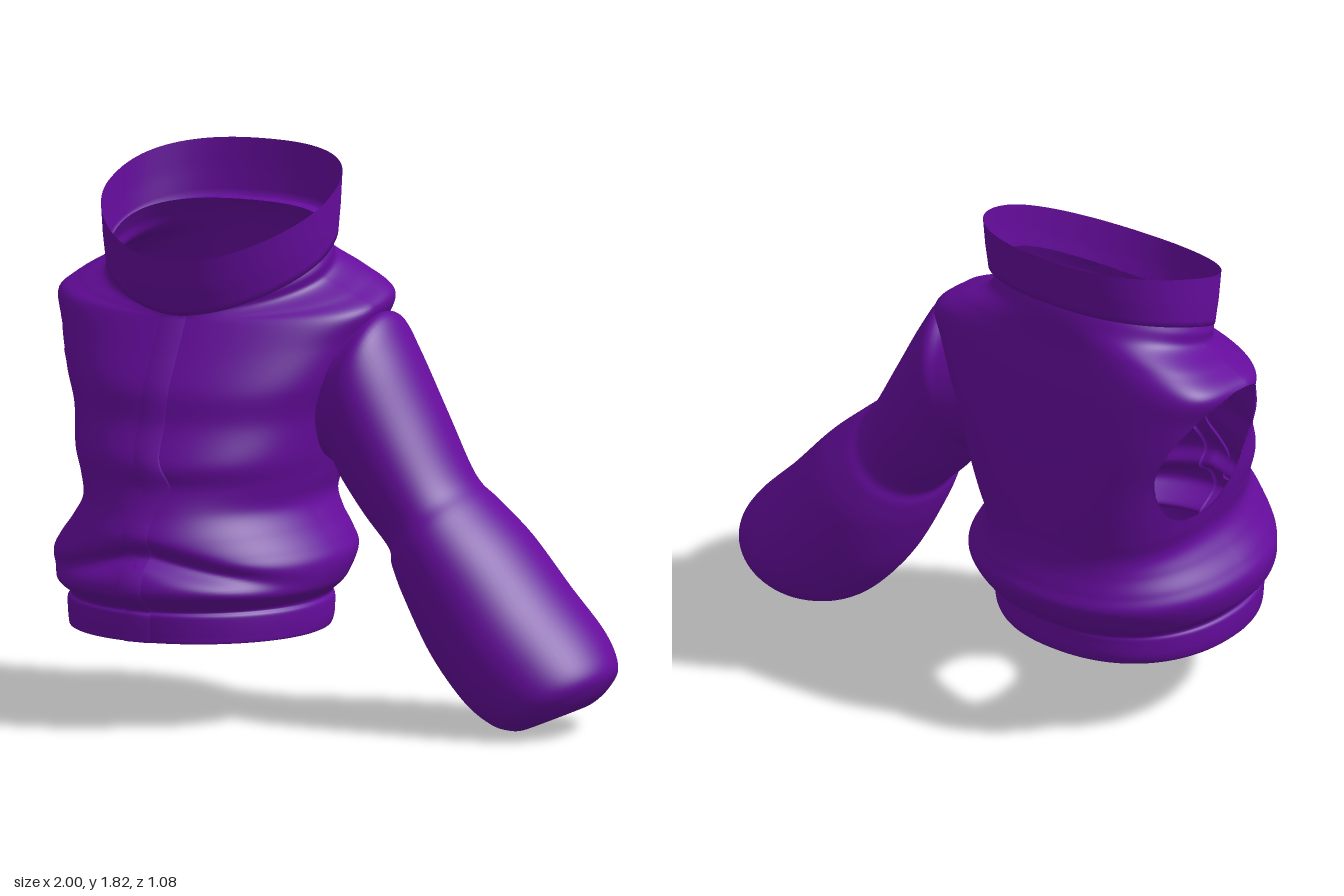
import * as THREE from 'three';

const CX = -0.43; // middle of the torso

// Catmull-Rom interpolation through a list of number rows
function sample(rows, t) {
  const i = Math.min(Math.floor(t), rows.length - 2), f = t - i;
  const at = k => rows[Math.max(0, Math.min(rows.length - 1, k))];
  return rows[i].map((b, c) => {
    const a = at(i - 1)[c], d = at(i + 1)[c], e = at(i + 2)[c];
    return b + 0.5 * f * (d - a + f * (2 * a - 5 * b + 4 * d - e + f * (3 * (b - d) + e - a)));
  });
}

// Surface from point(u, v); drop(p) marks vertices lying in an opening
function surface(point, nu, nv, closed, drop = () => false) {
  const pos = [], idx = [], gone = [];
  const cols = closed ? nu : nu + 1;
  for (let j = 0; j <= nv; j++) {
    for (let i = 0; i < cols; i++) {
      const p = point(i / nu, j / nv);
      gone.push(drop(p));
      pos.push(p.x, p.y, p.z);
    }
  }
  const tri = (a, b, c) => { if (!(gone[a] && gone[b] && gone[c])) idx.push(a, b, c); };
  for (let j = 0; j < nv; j++) {
    for (let i = 0; i < nu; i++) {
      const k = (i + 1) % cols;
      const a = j * cols + i, b = j * cols + k, c = a + cols, d = b + cols;
      tri(a, b, c);
      tri(b, d, c);
    }
  }
  const g = new THREE.BufferGeometry();
  g.setAttribute('position', new THREE.Float32BufferAttribute(pos, 3));
  g.setIndex(idx);
  g.computeVertexNormals();
  return g;
}

// Point on a tilted ring: [front y, back y, half width, front z, back z,
// front exponent, back exponent, lift of the sides]
// An exponent above 1 makes that half pointed, below 1 makes it square.
function ringPoint([yf, yb, hw, zf, zb, ef, eb, lift], a) {
  const s = Math.sin(a), c = Math.cos(a);
  const e = c < 0 ? eb : ef;
  const x = CX + hw * Math.sign(s) * Math.abs(s) ** e;
  const k = Math.sign(c) * Math.abs(c) ** e;
  return new THREE.Vector3(x,
    (yf + yb) / 2 + k * (yf - yb) / 2 + lift * (1 - k * k),
    (zf + zb) / 2 + k * (zf - zb) / 2);
}

// Torso rings from hem to neck
const TORSO = [
  [0.34, 0.34, 0.400, 0.42, -0.38, 1, 0.9],
  [0.295, 0.29, 0.420, 0.455, -0.40, 1, 0.9],
  [0.32, 0.32, 0.430, 0.46, -0.42, 1, 0.9],
  [0.38, 0.38, 0.433, 0.46, -0.42, 1, 0.9],
  [0.405, 0.405, 0.425, 0.455, -0.425, 1, 0.9],
  [0.46, 0.45, 0.470, 0.53, -0.48, 1.02, 0.9],
  [0.53, 0.54, 0.490, 0.515, -0.535, 1.02, 0.9],
  [0.58, 0.60, 0.465, 0.50, -0.52, 1.02, 0.86],
  [0.64, 0.66, 0.420, 0.485, -0.50, 1.02, 0.8],
  [0.72, 0.72, 0.385, 0.445, -0.49, 1, 0.72],
  [0.80, 0.80, 0.400, 0.415, -0.49, 0.95, 0.65],
  [0.88, 0.90, 0.420, 0.41, -0.49, 0.92, 0.58],
  [1.00, 1.05, 0.448, 0.35, -0.485, 0.92, 0.52],
  [1.11, 1.17, 0.490, 0.32, -0.475, 0.94, 0.48],
  [1.23, 1.30, 0.535, 0.25, -0.455, 1, 0.46],
  [1.32, 1.40, 0.568, 0.195, -0.435, 1.08, 0.46],
  [1.34, 1.475, 0.490, 0.185, -0.42, 1.15, 0.55],
  [1.355, 1.545, 0.398, 0.18, -0.41, 1.15, 0.75],
  [1.38, 1.60, 0.390, 0.175, -0.395, 1.12, 0.87],
  [1.41, 1.64, 0.362, 0.17, -0.37, 1.12, 0.87],
].map((row, i) => [...row, [0.01, 0.035][i - 18] ?? 0]);
const torsoRow = v => sample(TORSO, v * (TORSO.length - 1));

// Armholes: points inside the oval move to its rim
const HOLE = { y: 1.1, z: -0.17, ry: 0.265, rz: 0.23 };
function inHole(p) {
  const r = p.x < CX ? 1 : 0.8;
  const dy = (p.y - HOLE.y) / HOLE.ry / r, dz = (p.z - HOLE.z) / HOLE.rz / r;
  const d = Math.hypot(dy, dz);
  if (d >= 1 || Math.abs(p.x - CX) < 0.25) return false;
  if (d > 0.6) {
    p.y = HOLE.y + dy / d * HOLE.ry * r;
    p.z = HOLE.z + dz / d * HOLE.rz * r;
  }
  return true;
}

// Crease above the waistband, falling away to both sides
function crease(p) {
  return 0.05 * Math.exp(-(((p.y - 0.59 + 0.25 * Math.abs(p.x - CX)) / 0.035) ** 2));
}

function torsoPoint(u, v) {
  const a = u * Math.PI * 2;
  const p = ringPoint(torsoRow(v), a);
  p.z -= crease(p) * Math.max(0, Math.cos(a));
  return p;
}

// Raised front closure with a kink at the waist
function placketPoint(u, v) {
  const row = torsoRow(0.055 + v * 0.86);
  const k = Math.round(u * 3);
  const mid = -0.447 + 0.05 * Math.exp(-(((row[0] - 0.8) / 0.07) ** 2));
  const t = (mid + [-0.05, -0.043, 0.043, 0.05][k] - CX) / row[2];
  const p = ringPoint(row, Math.asin(Math.sign(t) * Math.abs(t) ** (1 / row[5])));
  p.z += [-0.012, 0.010, 0.010, -0.012][k] - crease(p);
  return p;
}

// Collar rings: inside neck, lower lip, middle, upper rim
const COLLAR = [
  [1.41, 1.64, 0.362, 0.17, -0.37, 1.12, 0.87, 0.035],
  [1.345, 1.635, 0.393, 0.205, -0.455, 1.12, 0.87, 0.035],
  [1.43, 1.73, 0.399, 0.23, -0.475, 1.12, 0.87, 0.035],
  [1.53, 1.825, 0.402, 0.25, -0.49, 1.12, 0.87, 0.035],
];
function collarPoint(u, v) {
  const t = v * 3, i = Math.min(Math.floor(t), 2), f = t - i;
  const row = COLLAR[i].map((n, c) => n + (COLLAR[i + 1][c] - n) * f);
  return ringPoint(row, u * Math.PI * 2);
}

// Sleeve sections: outer x, y, inner x, y, front z, back z
const SLEEVE = [
  [0.04, 1.33, -0.08, 0.88, 0.04, -0.39],
  [0.10, 1.325, -0.01, 0.84, 0.07, -0.41],
  [0.17, 1.34, 0.02, 0.82, 0.09, -0.42],
  [0.24, 1.24, 0.06, 0.76, 0.10, -0.41],
  [0.35, 1.03, 0.14, 0.66, 0.10, -0.395],
  [0.46, 0.83, 0.23, 0.565, 0.10, -0.37],
  [0.54, 0.75, 0.245, 0.51, 0.13, -0.40],
  [0.66, 0.635, 0.285, 0.41, 0.15, -0.435],
  [0.80, 0.47, 0.38, 0.23, 0.16, -0.45],
  [0.93, 0.33, 0.50, 0.085, 0.165, -0.44],
  [0.995, 0.23, 0.60, 0.02, 0.15, -0.38],
  [0.985, 0.165, 0.67, 0.003, 0.11, -0.31],
  [0.93, 0.10, 0.73, 0.012, 0.05, -0.21],
  [0.83, 0.06, 0.82, 0.055, -0.06, -0.08],
];
function sleevePoint(u, v) {
  const [ox, oy, ix, iy, zf, zb] = sample(SLEEVE, v * (SLEEVE.length - 1));
  const c = Math.cos(u * Math.PI * 2) / 2, s = Math.sin(u * Math.PI * 2) / 2;
  return new THREE.Vector3((ox + ix) / 2 + c * (ox - ix),
    (oy + iy) / 2 + c * (oy - iy), (zf + zb) / 2 + s * (zf - zb));
}

export function createModel() {
  const fabric = new THREE.MeshStandardMaterial({ color: 0x650c9c, side: THREE.DoubleSide });
  fabric.name = 'purple fabric';
  const jacket = new THREE.Group();
  jacket.name = 'jacket';
  const add = (name, geometry) => {
    const mesh = new THREE.Mesh(geometry, fabric);
    mesh.name = name;
    jacket.add(mesh);
  };
  add('torso', surface(torsoPoint, 220, 171, true, inHole));
  add('frontPlacket', surface(placketPoint, 3, 90, false));
  add('collar', surface(collarPoint, 96, 12, true));
  add('leftSleeve', surface(sleevePoint, 64, 78, true));
  return jacket;
}
